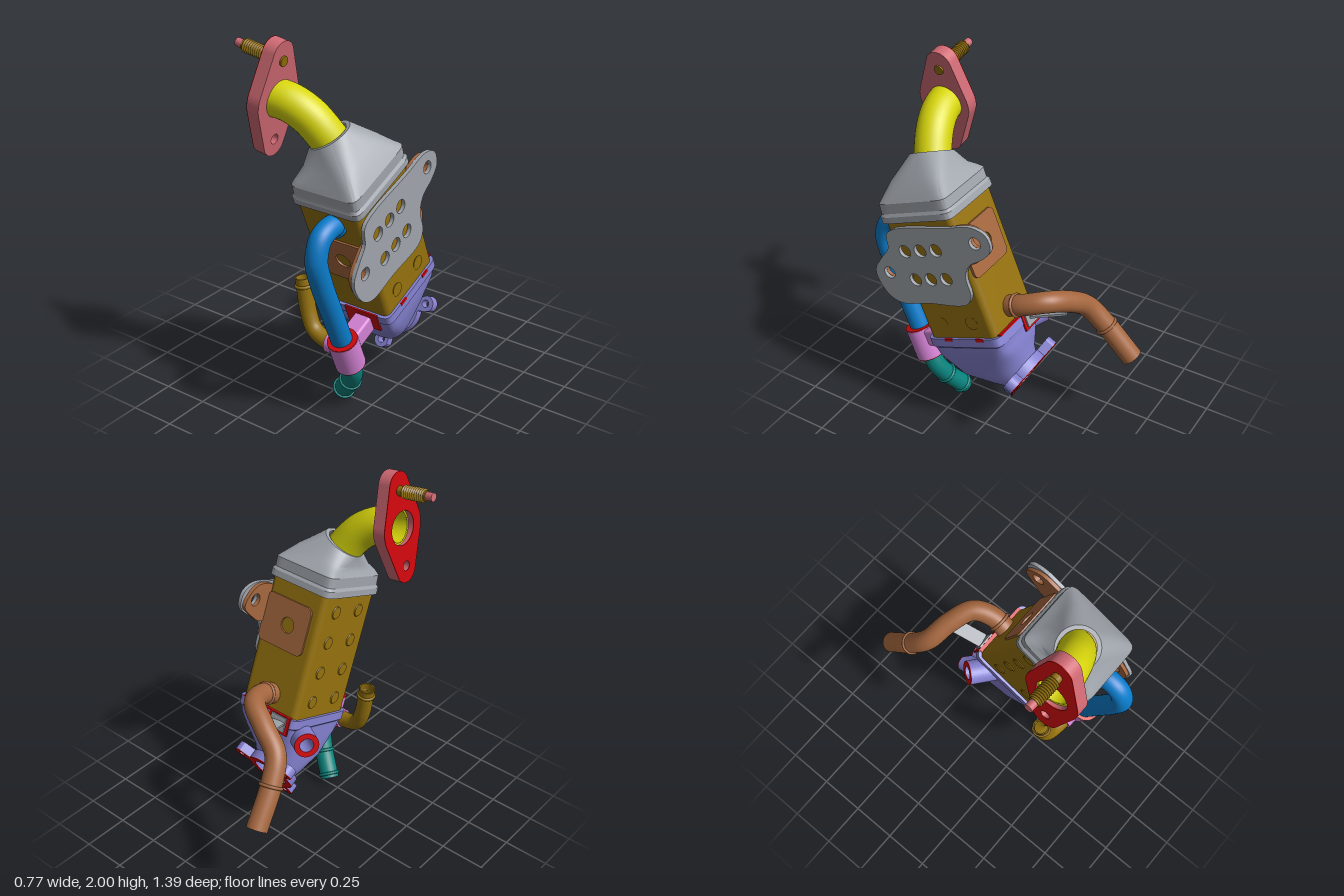
import * as THREE from 'three';
import { toCreasedNormals } from 'three/addons/utils/BufferGeometryUtils.js';
import { RoundedBoxGeometry } from 'three/addons/geometries/RoundedBoxGeometry.js';

const V = (x, y, z) => new THREE.Vector3(x, y, z);
const mat = (name, color) => new THREE.MeshStandardMaterial({ name, color, side: THREE.DoubleSide });
const M = {
  ochre: mat('ochre', 0x94710e), yellow: mat('yellow', 0xd8d60c), grey: mat('grey', 0xa0a5ac),
  brown: mat('brown', 0xa5673f), blue: mat('blue', 0x0a7dcc), violet: mat('violet', 0x8683d2),
  pink: mat('pink', 0xd281d2), teal: mat('teal', 0x08827c), salmon: mat('salmon', 0xd06a74),
  red: mat('red', 0xcc080c),
};

function add(parent, name, geo, material, x = 0, y = 0, z = 0) {
  const m = new THREE.Mesh(geo, material);
  m.name = name;
  m.position.set(x, y, z);
  parent.add(m);
  return m;
}

// turn an object so its z follows the normal and its y follows up
function orient(o, pos, normal, up) {
  const n = normal.clone().normalize();
  const x = up.clone().cross(n).normalize();
  o.quaternion.setFromRotationMatrix(new THREE.Matrix4().makeBasis(x, n.clone().cross(x), n));
  o.position.copy(pos);
  return o;
}

// ring: rounded outline (power p) at c, tilted about x by t, sheared in y by s
function ring(c, hx, hz, p, t = 0, s = 0) {
  const pts = [], e = 2 / p, N = 64;
  const f = v => Math.sign(v) * Math.abs(v) ** e;
  for (let i = 0; i < N; i++) {
    const a = (i + 0.5) / N * Math.PI * 2;
    const px = hx * f(Math.cos(a)), pz = hz * f(Math.sin(a));
    pts.push(V(c[0] + px, c[1] - pz * Math.sin(t) + px * s, c[2] + pz * Math.cos(t)));
  }
  return pts;
}

// skin over rings listed from bottom to top
function loft(rings) {
  const n = rings[0].length, idx = [];
  for (let j = 0; j < rings.length - 1; j++) for (let i = 0; i < n; i++) {
    const a = j * n + i, b = j * n + (i + 1) % n;
    idx.push(a, a + n, b, b, a + n, b + n);
  }
  const g = new THREE.BufferGeometry().setFromPoints(rings.flat());
  g.setIndex(idx);
  g.computeVertexNormals();
  return toCreasedNormals(g, 0.5);
}

// bent pipe with raised beads at the given fractions
function pipe(parent, name, material, pts, r, beads = []) {
  const g = new THREE.Group();
  g.name = name;
  parent.add(g);
  const curve = new THREE.CatmullRomCurve3(pts.map(p => V(...p)));
  add(g, name + 'Tube', new THREE.TubeGeometry(curve, 64, r, 32), material);
  add(g, name + 'Bore', new THREE.TubeGeometry(curve, 64, r * 0.85, 24), material);
  const ends = [0, 1, ...beads];
  ends.forEach((t, i) => {
    const geo = i < 2 ? new THREE.RingGeometry(r * 0.85, r, 32) : new THREE.TorusGeometry(r, 0.009, 8, 32);
    orient(add(g, name + (i < 2 ? 'End' : 'Bead'), geo, material),
      curve.getPointAt(t), curve.getTangentAt(t), V(0.3, 0.2, 0.93));
  });
}

const hole = (shape, x, y, r) => shape.holes.push(new THREE.Path().absarc(x, y, r, 0, Math.PI * 2, true));
const slab = (shape, depth) => new THREE.ExtrudeGeometry(shape, { depth, bevelEnabled: false, curveSegments: 24 });
const blob = pts => new THREE.Shape(
  new THREE.CatmullRomCurve3(pts.map(p => V(p[0], p[1], 0)), true).getPoints(80).map(p => new THREE.Vector2(p.x, p.y)));

function roundRect(w, h, r) {
  const s = new THREE.Shape(), x = w / 2 - r, y = h / 2 - r, q = Math.PI / 2;
  [[x, y], [-x, y], [-x, -y], [x, -y]].forEach((c, i) => s.absarc(c[0], c[1], r, i * q, (i + 1) * q));
  return s;
}

export function createModel() {
  const root = new THREE.Group();
  root.name = 'exhaustCooler';

  // leaning body: local y runs along the cooler, origin at the bottom of the core
  const body = new THREE.Group();
  body.name = 'body';
  body.position.set(0.17, 0.65, 0.058);
  body.rotation.x = 0.384;
  root.add(body);
  add(body, 'core', new RoundedBoxGeometry(0.37, 0.82, 0.44, 4, 0.035), M.ochre, 0, 0.34, 0);
  const dimple = new THREE.CylinderGeometry(0.032, 0.038, 0.008, 24).rotateZ(Math.PI / 2);
  for (const z of [-0.1, 0.1]) {
    for (let i = 0; i < 4; i++) add(body, 'dimple', dimple, M.ochre, -0.186, 0.1 + i * 0.17, z);
    add(body, 'dimple', dimple, M.ochre, 0.186, 0.1, z);
  }

  // inlet cap
  add(body, 'inletCap', loft([
    ring([0, 0.7, 0], 0.18, 0.215, 12), ring([0, 0.7, 0], 0.205, 0.235, 12),
    ring([0, 0.735, 0], 0.205, 0.235, 12), ring([0, 0.75, 0], 0.195, 0.226, 12),
    ring([0, 0.805, -0.005], 0.195, 0.226, 11), ring([0, 0.83, -0.005], 0.178, 0.208, 9),
    ring([-0.02, 0.875, -0.01], 0.15, 0.172, 5, 0, 0.15),
    ring([-0.072, 0.955, -0.025], 0.105, 0.112, 2, 0, 0.42),
    ring([-0.072, 0.955, -0.025], 0.085, 0.09, 2, 0, 0.42),
  ]), M.grey);

  // outlet housing
  add(body, 'outletHousing', loft([
    ring([-0.05, -0.354, -0.102], 0.11, 0.11, 2, 0.7), ring([-0.04, -0.3, -0.07], 0.135, 0.145, 2.4, 0.58),
    ring([-0.015, -0.21, -0.025], 0.17, 0.2, 4, 0.3), ring([0, -0.1, 0], 0.187, 0.226, 8, 0.05),
    ring([0, -0.05, 0], 0.19, 0.23, 12), ring([0, -0.04, 0], 0.2, 0.237, 12),
    ring([0, 0.01, 0], 0.2, 0.237, 12), ring([0, 0.01, 0], 0.17, 0.205, 12),
  ]), M.violet);
  add(body, 'seamBack', new THREE.BoxGeometry(0.33, 0.008, 0.03), M.red, 0, 0.012, -0.224);
  add(body, 'frontPad', new THREE.BoxGeometry(0.2, 0.115, 0.009), M.red, 0.03, -0.04, 0.237);
  add(body, 'backPad', new THREE.BoxGeometry(0.14, 0.1, 0.009), M.red, -0.1, -0.035, -0.237);
  for (const z of [0.09, -0.117]) add(body, 'seamSide', new THREE.BoxGeometry(0.009, 0.016, 0.05), M.red, 0.198, 0.004, z);

  // side port
  const port = new THREE.Group();
  port.name = 'sidePort';
  orient(port, V(-0.275, -0.097, -0.185), V(-0.8, 0, -0.6), V(0, 1, 0));
  body.add(port);
  const portShape = new THREE.Shape().absarc(0, 0, 0.068, 0, Math.PI * 2);
  hole(portShape, 0, 0, 0.038);
  add(port, 'portTube', slab(portShape, 0.2), M.violet, 0, 0, -0.2);
  add(port, 'portFace', slab(portShape, 0.004), M.red);

  // three-eared outlet flange
  const ears = [22, 142, 262].map(d => d * Math.PI / 180);
  const outline = [];
  for (let i = 0; i < 180; i++) {
    const a = i / 180 * Math.PI * 2;
    let r = 0.14;
    for (const e of ears) {
      const q = 0.045 ** 2 - (0.19 * Math.sin(a - e)) ** 2;
      if (q > 0 && Math.cos(a - e) > 0) r = Math.max(r, 0.19 * Math.cos(a - e) + Math.sqrt(q));
    }
    outline.push(new THREE.Vector2(-r * Math.cos(a), r * Math.sin(a)));
  }
  const outShape = new THREE.Shape(outline);
  hole(outShape, 0, 0, 0.1);
  for (const e of ears) hole(outShape, -0.19 * Math.cos(e), 0.19 * Math.sin(e), 0.02);
  const outFlange = new THREE.Group();
  outFlange.name = 'outletFlange';
  orient(outFlange, V(0.12, 0.355, -0.175), V(0, -0.47, -0.88), V(0, 0.88, -0.47));
  root.add(outFlange);
  add(outFlange, 'outletFlangePlate', slab(outShape, 0.05), M.violet, 0, 0, -0.03);
  add(outFlange, 'outletFlangeFace', slab(outShape, 0.004), M.red, 0, 0, 0.02);

  // inlet pipe and its two-bolt flange
  pipe(root, 'inletPipe', M.yellow, [[0.12, 1.46, 0.36], [0.085, 1.535, 0.395], [0.01, 1.63, 0.43],
    [-0.08, 1.685, 0.455], [-0.19, 1.705, 0.472]], 0.096);
  const inShape = new THREE.Shape(), k = Math.acos(0.075 / 0.225), h = Math.PI / 2;
  inShape.absarc(0, 0.225, 0.075, h - k, h + k);
  inShape.absarc(0, 0, 0.15, h + k, 3 * h - k);
  inShape.absarc(0, -0.225, 0.075, 3 * h - k, 3 * h + k);
  inShape.absarc(0, 0, 0.15, 3 * h + k, 5 * h - k);
  hole(inShape, 0, 0, 0.09);
  hole(inShape, 0, -0.21, 0.026);
  const inFlange = new THREE.Group();
  inFlange.name = 'inletFlange';
  orient(inFlange, V(-0.175, 1.7, 0.474), V(-0.987, 0.16, 0), V(0.16, 0.987, 0));
  root.add(inFlange);
  add(inFlange, 'inletFlangePlate', slab(inShape, 0.068), M.salmon, 0, 0, -0.035);
  add(inFlange, 'inletFlangeFace', slab(inShape, 0.004), M.red, 0, 0, 0.033);

  // threaded stud
  const prof = [[0, -0.045], [0.026, -0.045], [0.026, 0.065]];
  for (let i = 0; i < 10; i++) prof.push([0.036, 0.072 + i * 0.013], [0.027, 0.0785 + i * 0.013]);
  prof.push([0.027, 0.205], [0, 0.205]);
  const stud = new THREE.LatheGeometry(prof.map(p => new THREE.Vector2(...p)), 24).rotateX(h);
  add(inFlange, 'stud', toCreasedNormals(stud, 0.5), M.ochre, 0, 0.2, 0);
  add(inFlange, 'studTip', new THREE.CylinderGeometry(0.022, 0.022, 0.045, 24).rotateX(h), M.salmon, 0, 0.2, 0.222);

  // coolant pipes
  pipe(root, 'bluePipe', M.blue, [[0.2, 1.12, 0.44], [0.2, 1.142, 0.52], [0.2, 1.11, 0.607], [0.2, 1.01, 0.643],
    [0.2, 0.87, 0.607], [0.2, 0.65, 0.517], [0.2, 0.38, 0.405]], 0.056, [0.05]);
  pipe(root, 'tealPipe', M.teal, [[0.2, 0.34, 0.39], [0.2, 0.25, 0.352], [0.165, 0.175, 0.32], [0.065, 0.037, 0.257]],
    0.053, [0.55, 0.93]);
  pipe(root, 'smallPipe', M.ochre, [[0.12, 0.395, 0.385], [0.04, 0.4, 0.382], [-0.03, 0.432, 0.375],
    [-0.07, 0.51, 0.368], [-0.105, 0.71, 0.365]], 0.044, [0.9]);
  pipe(root, 'backPipe', M.brown, [[0.17, 0.8, -0.07], [0.17, 0.858, -0.2], [0.12, 0.882, -0.3], [0, 0.835, -0.365],
    [-0.12, 0.745, -0.412], [-0.165, 0.64, -0.49], [-0.2, 0.445, -0.652]], 0.057, [0.1, 0.76]);

  // pipe clamp with arm and side boss
  add(body, 'clamp', new THREE.CylinderGeometry(0.08, 0.08, 0.18, 40), M.pink, 0.035, -0.1, 0.425);
  for (const y of [-0.008, -0.192]) add(body, 'clampFace', new THREE.CylinderGeometry(0.079, 0.079, 0.006, 40), M.red, 0.035, y, 0.425);
  add(body, 'clampArm', new RoundedBoxGeometry(0.1, 0.1, 0.17, 3, 0.015), M.pink, 0.035, -0.065, 0.3);
  add(root, 'clampBoss', new THREE.CylinderGeometry(0.055, 0.055, 0.12, 32).rotateZ(h), M.pink, 0.135, 0.395, 0.385);

  // side mounting plate, drawn in z and y
  const plate = blob([[0.583, 0.92], [0.535, 1.015], [0.495, 1.08], [0.5, 1.165], [0.45, 1.215], [0.143, 1.327],
    [-0.016, 1.385], [-0.1, 1.365], [-0.127, 1.29], [-0.08, 1.22], [-0.005, 1.157], [0.02, 1.08], [-0.01, 0.97],
    [0.02, 0.903], [0.25, 0.824], [0.424, 0.76], [0.503, 0.78], [0.567, 0.855]]);
  const earHoles = [[-0.037, 1.3], [0.493, 0.93]];
  for (const c of earHoles) hole(plate, c[0], c[1], 0.034);
  for (let i = 0; i < 3; i++) {
    hole(plate, 0.387 - i * 0.095, 1.1 + i * 0.037, 0.036);
    hole(plate, 0.328 - i * 0.095, 0.945 + i * 0.037, 0.036);
  }
  const side = (name, shape, m, x) => orient(add(root, name, slab(shape, 0.02), m), V(x, 0, 0), V(-1, 0, 0), V(0, 1, 0));
  side('mountingPlate', plate, M.grey, 0.378);

  // bracket tabs behind the plate ears and on the core faces
  [[[-0.118, 1.3], [-0.075, 1.22], [0, 1.15], [0.1, 1.17], [0.12, 1.31], [-0.016, 1.375]],
    [[0.573, 0.92], [0.53, 1.01], [0.46, 1.07], [0.37, 1], [0.37, 0.82], [0.43, 0.77], [0.5, 0.79]]].forEach((pts, i) => {
    const ear = blob(pts);
    hole(ear, ...earHoles[i], 0.034);
    side('bracketEar', ear, M.brown, 0.357);
  });
  const tab = roundRect(0.3, 0.27, 0.035);
  hole(tab, -0.02, 0, 0.042);
  add(body, 'frontBracket', slab(tab, 0.014), M.brown, 0.035, 0.37, 0.216);
  add(body, 'backBracket', slab(tab, 0.014), M.brown, 0.025, 0.48, -0.23);

  // pipe support clip
  add(body, 'clipFoot', new THREE.BoxGeometry(0.1, 0.08, 0.012), M.grey, -0.1, -0.03, -0.244);
  const clip = add(root, 'clipStrip', new THREE.BoxGeometry(0.08, 0.012, 0.2), M.grey);
  orient(clip, V(0.04, 0.755, -0.275), V(-0.25, 0.3, -0.92), V(0, 1, 0.3));

  return root;
}
